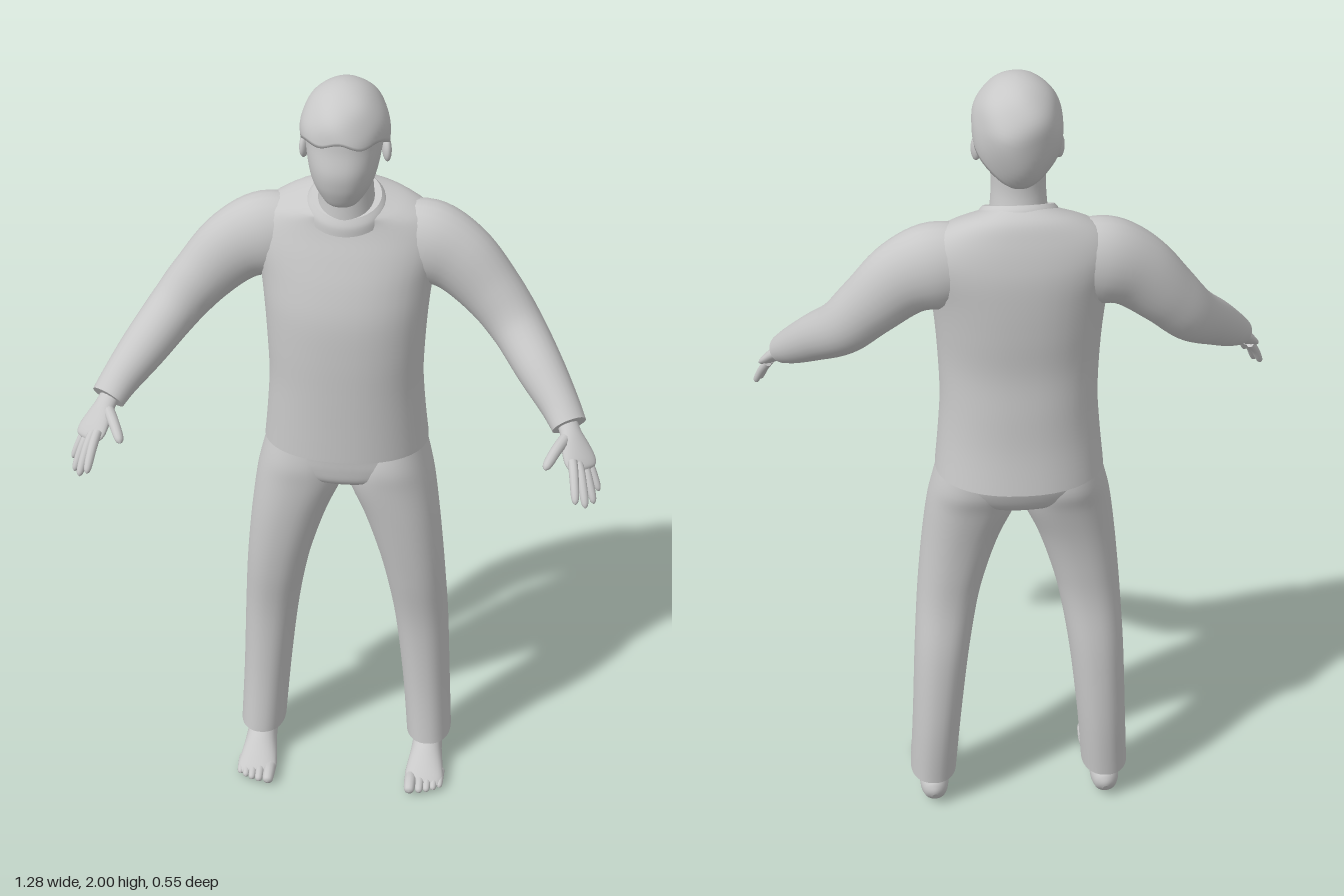
import * as THREE from 'three';

const grey = new THREE.MeshStandardMaterial({ color: 0xc8c8c8 });
grey.name = 'plain grey';
const V = (x, y, z) => new THREE.Vector3(x, y, z);

// Catmull-Rom interpolation of rows of numbers, k steps per span
function smooth(rows, k) {
  const out = [], n = rows.length;
  const blend = (a, b, c, d, t) => {
    const cubic = 3 * (b - c) + d - a, square = 2 * a - 5 * b + 4 * c - d;
    return b + 0.5 * t * (c - a + t * (square + t * cubic));
  };
  for (let i = 0; i < n - 1; i++) {
    const [a, b, c, d] = [rows[Math.max(i - 1, 0)], rows[i], rows[i + 1], rows[Math.min(i + 2, n - 1)]];
    for (let j = 0; j < k; j++) out.push(b.map((_, m) => blend(a[m], b[m], c[m], d[m], j / k)));
  }
  out.push(rows[n - 1]);
  return out;
}

// Skin a list of rings, cap both ends with sharp edges, and face it outward
function skin(rings) {
  const n = rings[0].length, pos = [], idx = [];
  rings.forEach(r => r.forEach(p => pos.push(p.x, p.y, p.z)));
  for (let i = 0; i < rings.length - 1; i++) for (let j = 0; j < n; j++) {
    const a = i * n + j, b = i * n + (j + 1) % n;
    idx.push(a, b, a + n, b, b + n, a + n);
  }
  [rings[0], rings[rings.length - 1]].forEach((r, end) => {
    const s = pos.length / 3, c = V(0, 0, 0);
    r.forEach(p => { pos.push(p.x, p.y, p.z); c.addScaledVector(p, 1 / n); });
    pos.push(c.x, c.y, c.z);
    for (let j = 0; j < n; j++) {
      const k = (j + 1) % n;
      if (end) idx.push(s + j, s + k, s + n);
      else idx.push(s + k, s + j, s + n);
    }
  });
  const at = i => V(pos[3 * i], pos[3 * i + 1], pos[3 * i + 2]);
  let volume = 0;
  for (let i = 0; i < idx.length; i += 3) volume += at(idx[i]).dot(at(idx[i + 1]).cross(at(idx[i + 2])));
  if (volume < 0) idx.reverse();
  const g = new THREE.BufferGeometry();
  g.setAttribute('position', new THREE.Float32BufferAttribute(pos, 3));
  g.setIndex(idx);
  g.computeVertexNormals();
  return g;
}

const ring = (n, fn) => Array.from({ length: n }, (_, j) => fn(j / n * Math.PI * 2));
const soft = (v, p) => Math.sign(v) * Math.pow(Math.abs(v), 2 / p);

// Level rings: [y, xMin, xMax, zFront, zBack, tilt]
function stack(rows, p = 2.2, n = 40) {
  return skin(smooth(rows, 5).map(([y, x0, x1, zf, zb, tilt = 0]) => ring(n, a => {
    const dz = (zf - zb) / 2 * soft(Math.sin(a), p);
    return V((x0 + x1) / 2 + (x1 - x0) / 2 * soft(Math.cos(a), p), y + tilt * dz, (zf + zb) / 2 + dz);
  })));
}
// Symmetric version: [y, halfWidth, zFront, zBack, tilt]
const body = (rows, p) => stack(rows.map(([y, w, f, b, t = 0]) => [y, -w, w, f, b, t]), p);

// Rings along a path: [x, y, z, sideRadius, upRadius]
function limb(rows, ref = V(0, 1, 0), n = 24, k = 6) {
  const s = smooth(rows, k), at = r => V(r[0], r[1], r[2]);
  return skin(s.map((r, i) => {
    const t = at(s[Math.min(i + 1, s.length - 1)]).sub(at(s[Math.max(i - 1, 0)])).normalize();
    const side = ref.clone().cross(t).normalize(), up = t.clone().cross(side);
    return ring(n, a => at(r).addScaledVector(side, r[3] * Math.cos(a)).addScaledVector(up, r[4] * Math.sin(a)));
  }));
}

// Finger or toe with a rounded tip
function digit(a, b, r, bend) {
  const rows = [[0, 1], [0.3, 1], [0.55, 0.95], [0.8, 0.88], [0.94, 0.65], [1, 0.1]].map(([t, s]) => {
    const q = V(...a).lerp(V(...b), t);
    return [q.x, q.y + bend * Math.sin(t * Math.PI), q.z, r * s, r * s];
  });
  return limb(rows, V(0, 1, 0), 12, 3);
}

export function createModel() {
  const model = new THREE.Group();
  const add = (name, geometry) => {
    const mesh = new THREE.Mesh(geometry, grey);
    mesh.name = name;
    model.add(mesh);
  };
  const pair = (name, geometry) => {
    add(name + 'Left', geometry);
    const mirrored = geometry.clone().scale(-1, 1, 1);
    mirrored.setIndex(Array.from(geometry.index.array).reverse());
    add(name + 'Right', mirrored);
  };

  // Sweater
  add('sweater', body([
    [1.005, 0.205, 0.037, -0.275, 0.05], [1.1, 0.196, 0.037, -0.258], [1.2, 0.19, 0.037, -0.25],
    [1.3, 0.193, 0.036, -0.243], [1.4, 0.2, 0.03, -0.248], [1.48, 0.21, 0.012, -0.25],
    [1.55, 0.228, -0.012, -0.248], [1.6, 0.228, -0.032, -0.24], [1.64, 0.2, -0.042, -0.226, -0.1],
    [1.668, 0.148, -0.042, -0.207, -0.28], [1.682, 0.085, -0.035, -0.175, -0.45]]));
  add('collar', body([[1.655, 0.1, -0.022, -0.19, -0.45], [1.675, 0.095, -0.024, -0.182, -0.45],
    [1.69, 0.084, -0.034, -0.17, -0.45]], 2));
  pair('sleeve', limb([
    [0.1, 1.56, -0.14, 0.07, 0.09], [0.19, 1.556, -0.135, 0.082, 0.108], [0.27, 1.522, -0.125, 0.075, 0.094],
    [0.35, 1.445, -0.108, 0.068, 0.078], [0.415, 1.37, -0.075, 0.064, 0.068], [0.48, 1.3, 0.005, 0.058, 0.058],
    [0.53, 1.245, 0.068, 0.048, 0.047], [0.556, 1.213, 0.108, 0.044, 0.038]]));

  // Hands
  pair('palm', limb([[0.545, 1.225, 0.09, 0.026, 0.022], [0.56, 1.203, 0.122, 0.027, 0.02],
    [0.572, 1.182, 0.145, 0.036, 0.018], [0.586, 1.158, 0.168, 0.042, 0.015],
    [0.594, 1.145, 0.182, 0.036, 0.01], [0.597, 1.14, 0.187, 0.02, 0.004]], V(0.3, 0.75, 0.35)));
  pair('thumb', digit([0.552, 1.198, 0.135], [0.506, 1.165, 0.232], 0.014, 0.006));
  pair('indexFinger', digit([0.57, 1.165, 0.19], [0.583, 1.102, 0.277], 0.0115, 0.008));
  pair('middleFinger', digit([0.584, 1.155, 0.18], [0.607, 1.077, 0.254], 0.0115, 0.008));
  pair('ringFinger', digit([0.594, 1.15, 0.164], [0.626, 1.066, 0.217], 0.011, 0.008));
  pair('littleFinger', digit([0.602, 1.15, 0.147], [0.636, 1.078, 0.18], 0.01, 0.006));

  // Trousers
  add('trouserSeat', body([[1.05, 0.185, 0.01, -0.235], [1.0, 0.2, 0.004, -0.243], [0.96, 0.207, 0.002, -0.235],
    [0.925, 0.17, -0.005, -0.218], [0.905, 0.1, -0.03, -0.19], [0.897, 0.03, -0.07, -0.14]], 2.3));
  pair('trouserLeg', stack([
    [1.02, 0.03, 0.196, -0.01, -0.225], [0.96, 0.005, 0.212, 0.002, -0.228], [0.9, 0.003, 0.225, 0.001, -0.213],
    [0.8, 0.045, 0.238, -0.004, -0.195], [0.7, 0.078, 0.248, -0.012, -0.187], [0.6, 0.103, 0.256, -0.023, -0.187],
    [0.45, 0.128, 0.265, -0.042, -0.205], [0.25, 0.15, 0.273, -0.043, -0.211], [0.08, 0.164, 0.281, -0.03, -0.2]]));

  // Bare feet: sections run from heel to ball
  pair('foot', limb([
    [0.222, 0.03, -0.192, 0.008, 0.012], [0.222, 0.035, -0.182, 0.026, 0.032], [0.222, 0.045, -0.155, 0.036, 0.045],
    [0.222, 0.052, -0.1, 0.038, 0.052], [0.222, 0.043, -0.05, 0.041, 0.043], [0.222, 0.028, 0.0, 0.048, 0.028],
    [0.223, 0.02, 0.035, 0.051, 0.02], [0.224, 0.015, 0.055, 0.044, 0.013], [0.224, 0.014, 0.062, 0.03, 0.006]]));
  pair('ankle', stack([[0.15, 0.187, 0.257, -0.06, -0.165], [0.08, 0.187, 0.257, -0.05, -0.17],
    [0.04, 0.187, 0.257, -0.035, -0.178]], 2, 24));
  [[0.188, 0.097, 0.016], [0.213, 0.09, 0.012], [0.232, 0.083, 0.011], [0.249, 0.074, 0.0105], [0.265, 0.062, 0.01]]
    .forEach(([x, z, r], i) => pair('toe' + (i + 1), digit([x, 0.02, z - 0.06], [x, r, z], r, 0.004)));

  // Head with a blank face
  add('neck', body([[1.62, 0.075, -0.03, -0.175], [1.68, 0.068, -0.034, -0.168], [1.74, 0.064, -0.035, -0.155],
    [1.8, 0.066, -0.03, -0.155]], 2));
  add('head', body([[1.722, 0.018, 0.02, -0.02], [1.728, 0.038, 0.032, -0.05], [1.75, 0.058, 0.044, -0.1],
    [1.78, 0.074, 0.054, -0.135], [1.82, 0.084, 0.058, -0.16], [1.87, 0.091, 0.048, -0.175],
    [1.92, 0.09, 0.04, -0.175], [1.96, 0.06, 0.01, -0.14], [1.975, 0.02, -0.04, -0.1]], 2.2));
  const ear = new THREE.SphereGeometry(1, 20, 14).scale(0.011, 0.032, 0.02);
  pair('ear', ear.rotateX(-0.2).rotateY(0.35).translate(0.096, 1.828, -0.082));

  // Wavy hair: the lower edge drops from fringe to nape, first ring tucks inside
  const hairRings = [];
  for (let i = 0; i <= 24; i++) hairRings.push(ring(64, a => {
    const front = Math.cos(a), back = 0.5 - front / 2;
    const rim = 1.893 + 0.008 * Math.cos(6 * a) * Math.max(front, 0) - 0.14 * Math.pow(back, 1.7);
    const start = Math.asin((rim - 1.885) / (rim > 1.885 ? 0.115 : 0.17));
    const phi = start + (Math.PI / 2 - 0.02 - start) * Math.max(i - 1, 0) / 23;
    const lump = 1 + Math.cos(phi) * (0.016 * Math.sin(5 * a + 4 * phi) + 0.01 * Math.sin(3 * a - 7 * phi));
    const s = Math.cos(phi) * lump * (i ? 1 : 0.8);
    const y = 1.885 + Math.sin(phi) * (phi > 0 ? 0.115 : 0.17);
    return V(0.105 * s * Math.sin(a), y, -0.07 + 0.131 * s * front);
  }));
  add('hair', skin(hairRings));

  return model;
}
